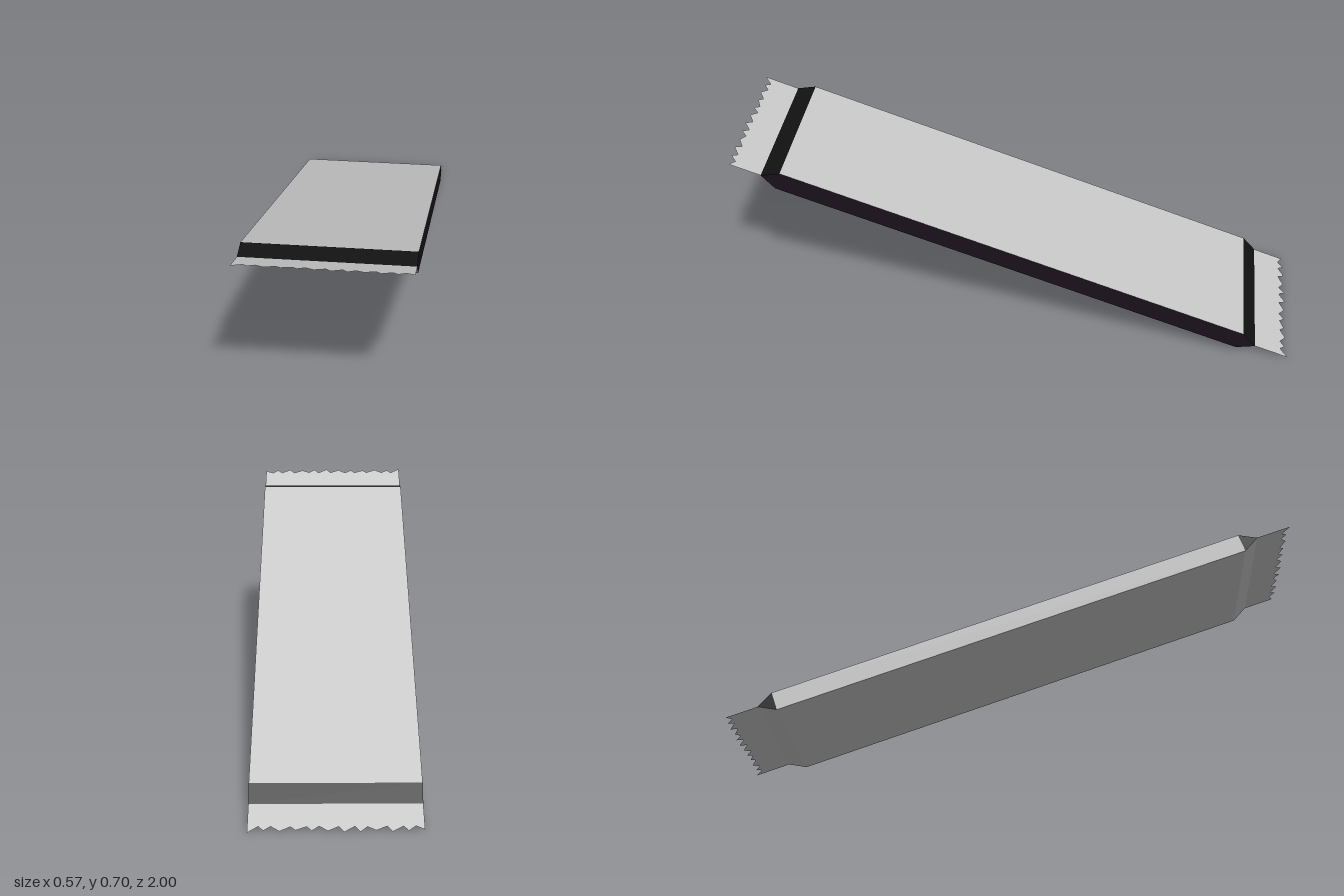
import * as THREE from 'three';

const GREY = 0xcccccc, BLACK = 0x121212, PLUM = 0x1a111c;
const W = 0.28;      // half width
const T = 0.034;     // half thickness
const S = 0.872;     // half length of the flat faces
const TIP = 0.932;   // half length to the pinched ends
const END = 1.059;   // half length to the longest crimp tooth

function material(color, side = THREE.FrontSide) {
  return new THREE.MeshStandardMaterial({ color, side, flatShading: true });
}

// Flat convex polygon of the body, turned to face away from its centre
function panel(name, color, corners) {
  const p = corners.map((c) => new THREE.Vector3(...c));
  const normal = p[1].clone().sub(p[0]).cross(p[2].clone().sub(p[0]));
  if (normal.dot(p[0]) < 0) p.reverse();
  const geo = new THREE.BufferGeometry().setFromPoints(p);
  const index = [];
  for (let i = 1; i < p.length - 1; i++) index.push(0, i, i + 1);
  geo.setIndex(index);
  geo.computeVertexNormals();
  const mesh = new THREE.Mesh(geo, material(color));
  mesh.name = name;
  return mesh;
}

// Thin crimped end with an uneven torn edge, reaching towards +z
function crimp(name) {
  const teeth = 11, pitch = (2 * W) / teeth;
  const jitter = [0, 0.009, 0.006, 0.01, 0.008, 0.007, 0.002, 0.003, 0.009, 0.004, 0.007];
  const shape = new THREE.Shape();
  shape.moveTo(-W, -TIP);
  for (let i = 0; i < teeth; i++) {
    const x = -W + i * pitch;
    shape.lineTo(x, -(END - jitter[i]));
    shape.lineTo(x + pitch * (i % 3 === 1 ? 0.45 : 0.68), -(END - 0.025 - jitter[(i + 4) % teeth] * 0.3));
  }
  shape.lineTo(W, -(END - 0.012));
  shape.lineTo(W, -TIP);
  const geo = new THREE.ShapeGeometry(shape).rotateX(-Math.PI / 2);
  const mesh = new THREE.Mesh(geo, material(GREY, THREE.DoubleSide));
  mesh.name = name;
  return mesh;
}

export function createModel() {
  const model = new THREE.Group();
  model.name = 'wrappedBar';
  const bar = new THREE.Group();
  bar.name = 'bar';

  // Broad faces
  for (const [name, y] of [['topFace', T], ['bottomFace', -T]]) {
    bar.add(panel(name, GREY, [[-W, y, -S], [W, y, -S], [W, y, S], [-W, y, S]]));
  }

  // Sloping ends: dark above, plain below
  for (const [end, d] of [['front', 1], ['back', -1]]) {
    for (const [level, y, color] of [['Upper', T, BLACK], ['Lower', -T, GREY]]) {
      bar.add(panel(`${end}${level}Slope`, color,
        [[-W, y, d * S], [W, y, d * S], [W, 0, d * TIP], [-W, 0, d * TIP]]));
    }
  }

  // Long sides and the small triangles closing their ends
  for (const [side, x, color, tipColor] of [['left', W, PLUM, PLUM], ['right', -W, GREY, BLACK]]) {
    bar.add(panel(`${side}Side`, color, [[x, -T, -S], [x, T, -S], [x, T, S], [x, -T, S]]));
    for (const [end, d] of [['Front', 1], ['Back', -1]]) {
      bar.add(panel(`${side}${end}Tip`, tipColor, [[x, -T, d * S], [x, T, d * S], [x, 0, d * TIP]]));
    }
  }

  // Crimped ends, the second turned half round
  const backCrimp = crimp('backCrimp');
  backCrimp.rotation.y = Math.PI;
  bar.add(crimp('frontCrimp'), backCrimp);

  // Raise the front end, with a very slight twist
  bar.rotation.set(-0.3353, 0.003, 0);
  bar.position.y = 0.3485;
  model.add(bar);
  return model;
}
